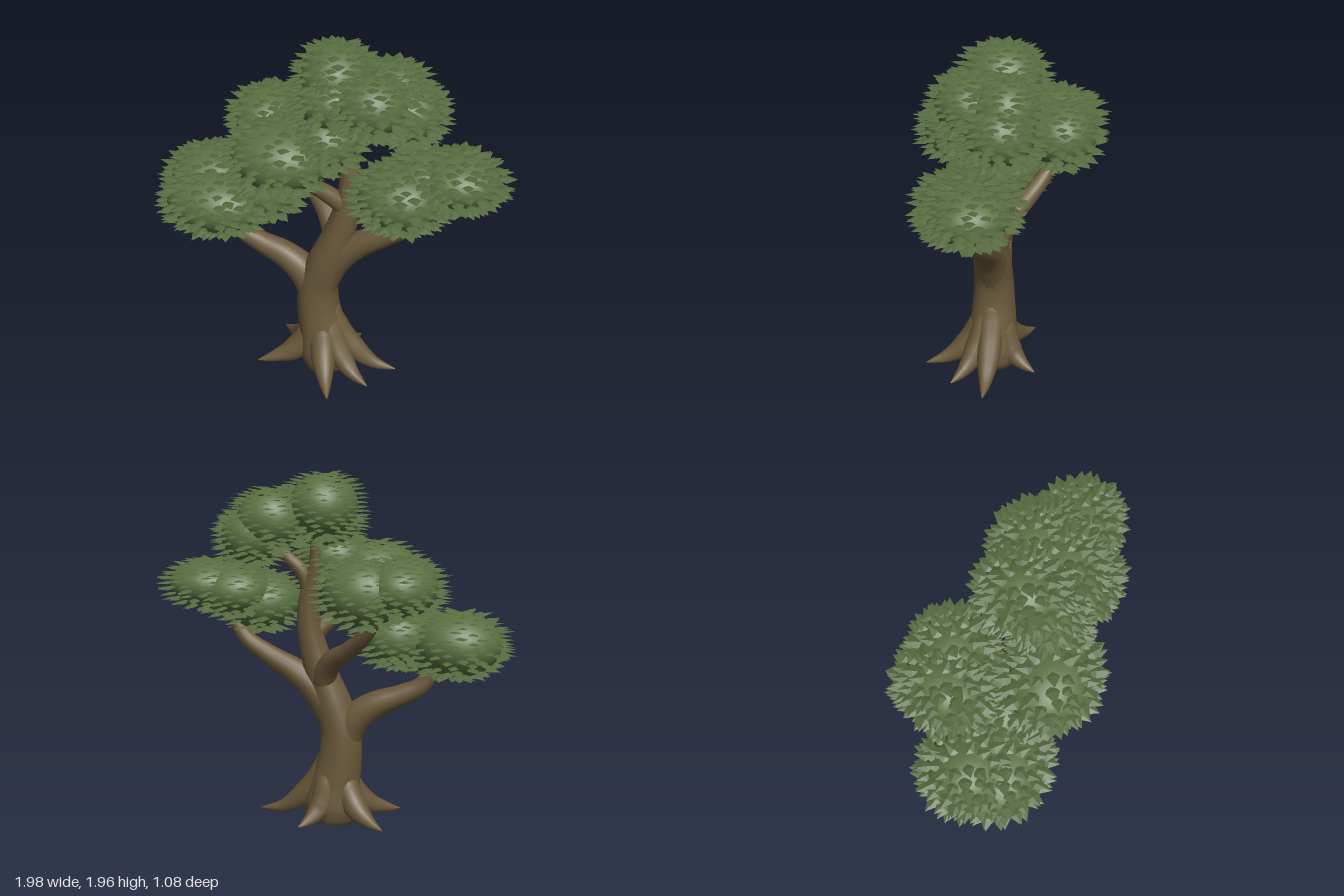
import * as THREE from 'three';
import { mergeVertices, mergeGeometries } from 'three/addons/utils/BufferGeometryUtils.js';

const bark = new THREE.MeshStandardMaterial({ name: 'bark brown', color: 0x69583a });
const green = new THREE.MeshStandardMaterial({ name: 'foliage green', color: 0x5a6f41 });
const leafGreen = new THREE.MeshStandardMaterial({ name: 'leaf green', color: 0x566a3f, side: THREE.DoubleSide });

// Seeded random numbers
let seed = 7;
const rand = () => (seed = (seed * 16807) % 2147483647) / 2147483647;

// Tapered limb through points [x, y, z, radius], closed at its first ring
function limb(name, pts, segs = 20, sides = 14, ripple = 0) {
  const curve = new THREE.CatmullRomCurve3(pts.map(p => new THREE.Vector3(p[0], p[1], p[2])));
  const geo = new THREE.TubeGeometry(curve, segs, 1, sides);
  const pos = geo.attributes.position;
  const v = new THREE.Vector3();
  for (let i = 0; i <= segs; i++) {
    const u = i / segs;
    const c = curve.getPointAt(u);
    const t = curve.getUtoTmapping(u) * (pts.length - 1);
    const k = Math.min(Math.floor(t), pts.length - 2);
    const r = i === 0 ? 0 : THREE.MathUtils.lerp(pts[k][3], pts[k + 1][3], t - k);
    for (let j = 0; j <= sides; j++) {
      const id = i * (sides + 1) + j;
      const wave = 1 + ripple * Math.sin((j / sides) * Math.PI * 10);
      v.fromBufferAttribute(pos, id).sub(c).multiplyScalar(r * wave).add(c);
      pos.setXYZ(id, v.x, v.y, v.z);
    }
  }
  geo.deleteAttribute('normal');
  geo.deleteAttribute('uv');
  const smooth = mergeVertices(geo, 1e-5);
  smooth.computeVertexNormals();
  const mesh = new THREE.Mesh(smooth, bark);
  mesh.name = name;
  return mesh;
}

// Foliage clumps: centre x, y, z and radii x, y, z
const clumps = {
  lowerLeftFoliage: [
    [-0.69, 1.08, 0.0, 0.23, 0.17, 0.21],
    [-0.6, 1.03, 0.17, 0.27, 0.16, 0.2],
    [-0.36, 1.1, 0.03, 0.19, 0.16, 0.19],
  ],
  backFoliage: [
    [-0.44, 1.4, -0.23, 0.18, 0.15, 0.22],
    [-0.25, 1.37, -0.28, 0.21, 0.17, 0.19],
  ],
  frontFoliage: [
    [-0.18, 1.41, 0.23, 0.26, 0.17, 0.22],
    [0.02, 1.49, 0.14, 0.18, 0.14, 0.16],
  ],
  rightFoliage: [
    [0.43, 1.24, 0.13, 0.22, 0.16, 0.2],
    [0.54, 1.31, 0.02, 0.2, 0.14, 0.19],
    [0.7, 1.34, 0.02, 0.21, 0.13, 0.2],
  ],
  topFoliage: [
    [0.03, 1.78, -0.01, 0.18, 0.17, 0.2],
    [0.05, 1.69, 0.09, 0.18, 0.14, 0.17],
    [0.26, 1.71, 0.11, 0.18, 0.15, 0.17],
    [0.3, 1.71, -0.08, 0.18, 0.16, 0.17],
    [0.4, 1.62, -0.07, 0.17, 0.15, 0.17],
  ],
};
const allClumps = Object.values(clumps).flat();
const inside = (p, c) =>
  ((p.x - c[0]) / c[3]) ** 2 + ((p.y - c[1]) / c[4]) ** 2 + ((p.z - c[2]) / c[5]) ** 2 < 0.9;

// Broad, slightly folded leaf, pointing along +z
function leafGeometry() {
  const geo = new THREE.BufferGeometry();
  const base = [0, 0, -0.025], tip = [0, -0.004, 0.075], ridge = [0, 0.005, 0.02];
  const left = [0.032, -0.004, 0.018], right = [-0.032, -0.004, 0.018];
  const tris = [base, ridge, left, ridge, tip, left, base, right, ridge, ridge, right, tip];
  geo.setAttribute('position', new THREE.Float32BufferAttribute(tris.flat(), 3));
  geo.computeVertexNormals();
  return geo;
}

// Leaves spread evenly over one clump, fanning out sideways
function clumpLeaves(c, leaf, count = 170) {
  const out = [];
  const up = new THREE.Vector3(0, 1, 0);
  for (let i = 0; i < count; i++) {
    const ny = 1 - (2 * (i + 0.5)) / count;
    const a = i * 2.39996 + (rand() - 0.5) * 0.25;
    const h = Math.sqrt(1 - ny * ny);
    const p = new THREE.Vector3(
      c[0] + c[3] * h * Math.cos(a), c[1] + c[4] * ny, c[2] + c[5] * h * Math.sin(a));
    const turn = a + (rand() - 0.5) * 0.5;
    const size = 0.85 + rand() * 0.35;
    if (allClumps.some(o => o !== c && inside(p, o))) continue;
    const dir = new THREE.Vector3(Math.cos(turn), 0.2 * ny + (rand() - 0.5) * 0.12, Math.sin(turn)).normalize();
    const side = new THREE.Vector3().crossVectors(up, dir).normalize();
    const top = new THREE.Vector3().crossVectors(dir, side);
    const m = new THREE.Matrix4().makeBasis(side, top, dir)
      .scale(new THREE.Vector3(size, size, size)).setPosition(p);
    out.push(leaf.clone().applyMatrix4(m));
  }
  return out;
}

export function createModel() {
  const tree = new THREE.Group();
  tree.name = 'tree';

  // Trunk
  tree.add(limb('trunk', [
    [0.02, 0.0, 0.05, 0.12], [0.0, 0.12, 0.055, 0.155], [-0.02, 0.25, 0.055, 0.135],
    [-0.045, 0.4, 0.055, 0.12], [-0.045, 0.55, 0.055, 0.11], [0.0, 0.7, 0.055, 0.104],
    [0.055, 0.85, 0.05, 0.09], [0.1, 1.0, 0.04, 0.076], [0.125, 1.15, 0.03, 0.065],
    [0.12, 1.3, 0.02, 0.052], [0.08, 1.45, 0.01, 0.04], [0.07, 1.65, 0.0, 0.03],
  ], 50, 24, 0.02));

  // Branches, each rising out of the trunk
  tree.add(limb('lowerLeftBranch', [
    [-0.045, 0.38, 0.055, 0.08], [-0.07, 0.5, 0.055, 0.09], [-0.13, 0.62, 0.055, 0.088],
    [-0.24, 0.705, 0.06, 0.075], [-0.37, 0.76, 0.07, 0.06], [-0.49, 0.825, 0.08, 0.049], [-0.6, 1.0, 0.09, 0.035],
  ], 28));
  tree.add(limb('rightBranch', [
    [-0.03, 0.52, 0.055, 0.08], [0.01, 0.65, 0.053, 0.09], [0.085, 0.77, 0.048, 0.086],
    [0.2, 0.865, 0.042, 0.072], [0.35, 0.95, 0.04, 0.056], [0.49, 1.045, 0.04, 0.044], [0.58, 1.2, 0.04, 0.034],
  ], 28));
  tree.add(limb('backBranch', [
    [0.03, 0.72, 0.05, 0.06], [0.04, 0.84, 0.02, 0.07], [-0.02, 0.95, -0.04, 0.06],
    [-0.14, 1.04, -0.13, 0.048], [-0.25, 1.15, -0.21, 0.041], [-0.34, 1.3, -0.26, 0.034],
  ], 24));
  tree.add(limb('frontBranch', [
    [0.11, 0.97, 0.04, 0.045], [0.1, 1.07, 0.05, 0.052], [0.03, 1.15, 0.085, 0.047],
    [-0.05, 1.22, 0.13, 0.04], [-0.16, 1.36, 0.2, 0.032],
  ]));
  tree.add(limb('topBranch', [
    [0.12, 1.28, 0.02, 0.035], [0.15, 1.42, 0.01, 0.04], [0.24, 1.51, 0.0, 0.034], [0.33, 1.62, -0.02, 0.028],
  ]));

  // Roots flaring from the trunk: tip x, tip z, height of the flare
  const roots = [[-0.35, 0.23, 0.16], [0.14, 0.41, 0.2], [0.31, 0.23, 0.22],
    [0.41, 0.03, 0.24], [0.12, -0.21, 0.19], [-0.33, -0.14, 0.18]];
  for (const [x, z, flare] of roots) {
    const dx = x, dz = z - 0.055;
    const reach = Math.hypot(dx, dz);
    const at = (d, y, r) => [-0.03 * (1 - d / reach) + (dx * d) / reach, y, 0.055 + (dz * d) / reach, r];
    tree.add(limb('root', [
      at(0.03, flare + 0.2, 0.06), at(0.075, flare + 0.06, 0.075), at(reach * 0.45, flare * 0.5 + 0.035, 0.066),
      at(reach * 0.7, 0.082, 0.038), at(reach * 0.87, 0.066, 0.02), at(reach, 0.06, 0.003),
    ], 20, 12));
  }

  // Foliage
  const leaf = leafGeometry();
  for (const [name, list] of Object.entries(clumps)) {
    const group = new THREE.Group();
    group.name = name;
    for (const c of list) {
      const ball = new THREE.Mesh(new THREE.SphereGeometry(1, 28, 18), green);
      ball.name = 'clump';
      ball.position.set(c[0], c[1], c[2]);
      ball.scale.set(c[3], c[4], c[5]);
      group.add(ball);
    }
    const leaves = new THREE.Mesh(mergeGeometries(list.flatMap(c => clumpLeaves(c, leaf))), leafGreen);
    leaves.name = 'leaves';
    group.add(leaves);
    tree.add(group);
  }
  return tree;
}
